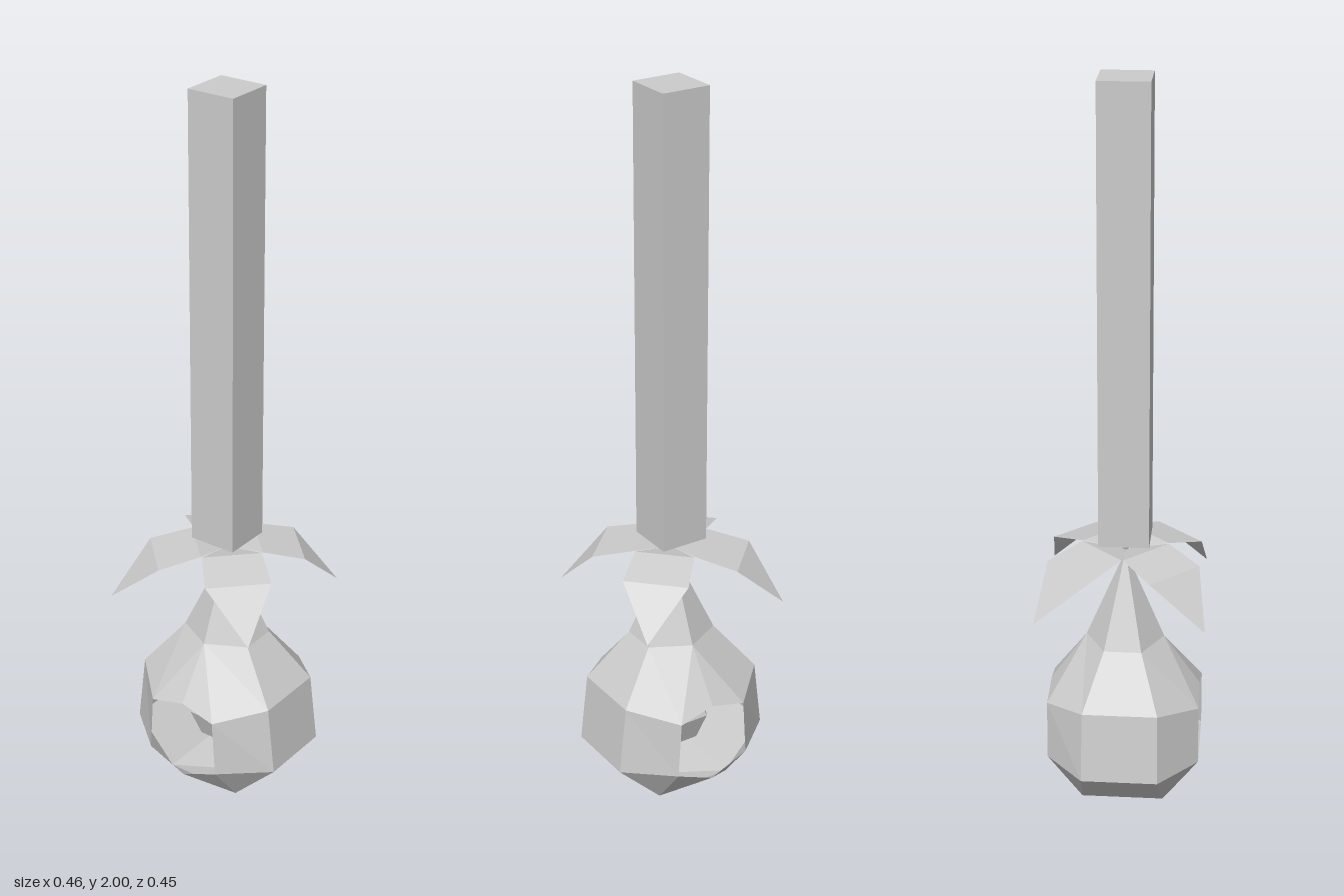
import * as THREE from 'three';

// Flat-shaded geometry from named points and convex faces, mirrored by sx / sz
function faceted(points, faces, mirrors) {
  const pos = [];
  for (const [sx, sz] of mirrors) {
    for (const face of faces) {
      const names = face.split(' ');
      if (sx * sz < 0) names.reverse();
      const p = names.map((n) => [points[n][0] * sx, points[n][1], points[n][2] * sz]);
      for (let i = 1; i < p.length - 1; i++) pos.push(...p[0], ...p[i], ...p[i + 1]);
    }
  }
  const g = new THREE.BufferGeometry();
  g.setAttribute('position', new THREE.Float32BufferAttribute(pos, 3));
  g.computeVertexNormals();
  return g;
}

export function createModel() {
  const group = new THREE.Group();
  const grey = new THREE.MeshStandardMaterial({
    color: 0xcccccc, flatShading: true, side: THREE.DoubleSide,
  });
  grey.name = 'light grey';

  const add = (name, geometry, x = 0, y = 0, z = 0) => {
    const mesh = new THREE.Mesh(geometry, grey);
    mesh.name = name;
    mesh.position.set(x, y, z);
    group.add(mesh);
    return mesh;
  };

  // Square post
  add('post', new THREE.BoxGeometry(0.134, 1.23, 0.134), 0, 1.385, 0);

  // Short stem between post and bulb
  add('stem', new THREE.CylinderGeometry(0.02, 0.006, 0.05, 4), 0, 0.75, 0);

  // Hollow teardrop bulb, open at front and back: one quarter, mirrored
  const bulb = {
    apex: [0, 0.73, 0],
    neckFront: [0, 0.48, 0.105], neckCorner: [0.105, 0.48, 0.05], neckSide: [0.105, 0.48, 0],
    holeTop: [0, 0.34, 0.203], holeUpper: [0.1, 0.315, 0.205],
    holeLower: [0.11, 0.155, 0.205], holeBottom: [0, 0.107, 0.203],
    shoulder: [0.21, 0.345, 0.1], shoulderSide: [0.21, 0.345, 0],
    belly: [0.232, 0.155, 0.102], bellySide: [0.232, 0.155, 0],
    base: [0.11, 0.035, 0.11], baseSide: [0.11, 0.035, 0], baseFront: [0, 0.035, 0.11],
    foot: [0, 0, 0],
  };
  bulb.foot[1] = 0.005;
  add('bulb', faceted(bulb, [
    'apex neckFront neckCorner',
    'apex neckCorner neckSide',
    'neckFront holeTop holeUpper',
    'neckFront holeUpper shoulder neckCorner',
    'neckCorner shoulder shoulderSide neckSide',
    'holeUpper holeLower belly shoulder',
    'shoulder belly bellySide shoulderSide',
    'holeLower base belly',
    'holeLower holeBottom base',
    'holeBottom baseFront base',
    'belly base baseSide bellySide',
    'foot base baseFront',
    'foot baseSide base',
  ], [[1, 1], [-1, 1], [1, -1], [-1, -1]]));

  // Small ball inside the bulb
  add('innerBall', new THREE.SphereGeometry(0.11, 6, 4), 0, 0.23, 0);

  // Four drooping leaves, one on each diagonal
  const leafTips = [[1, 1, 0.222, 0.21], [-1, 1, 0.223, 0.222], [1, -1, 0.213, 0.215], [-1, -1, 0.21, 0.225]];
  for (const [sx, sz, tx, tz] of leafTips) {
    const leaf = {
      root: [0, 0.735, 0],
      innerA: [0.115, 0.755, 0.002], innerB: [0.002, 0.755, 0.115],
      outerA: [0.2, 0.728, 0.077], outerB: [0.077, 0.728, 0.2],
      tip: [tx, 0.607, tz],
    };
    add('leaf', faceted(leaf, [
      'root innerB innerA',
      'innerA innerB outerB outerA',
      'outerA outerB tip',
    ], [[sx, sz]]));
  }
  return group;
}
